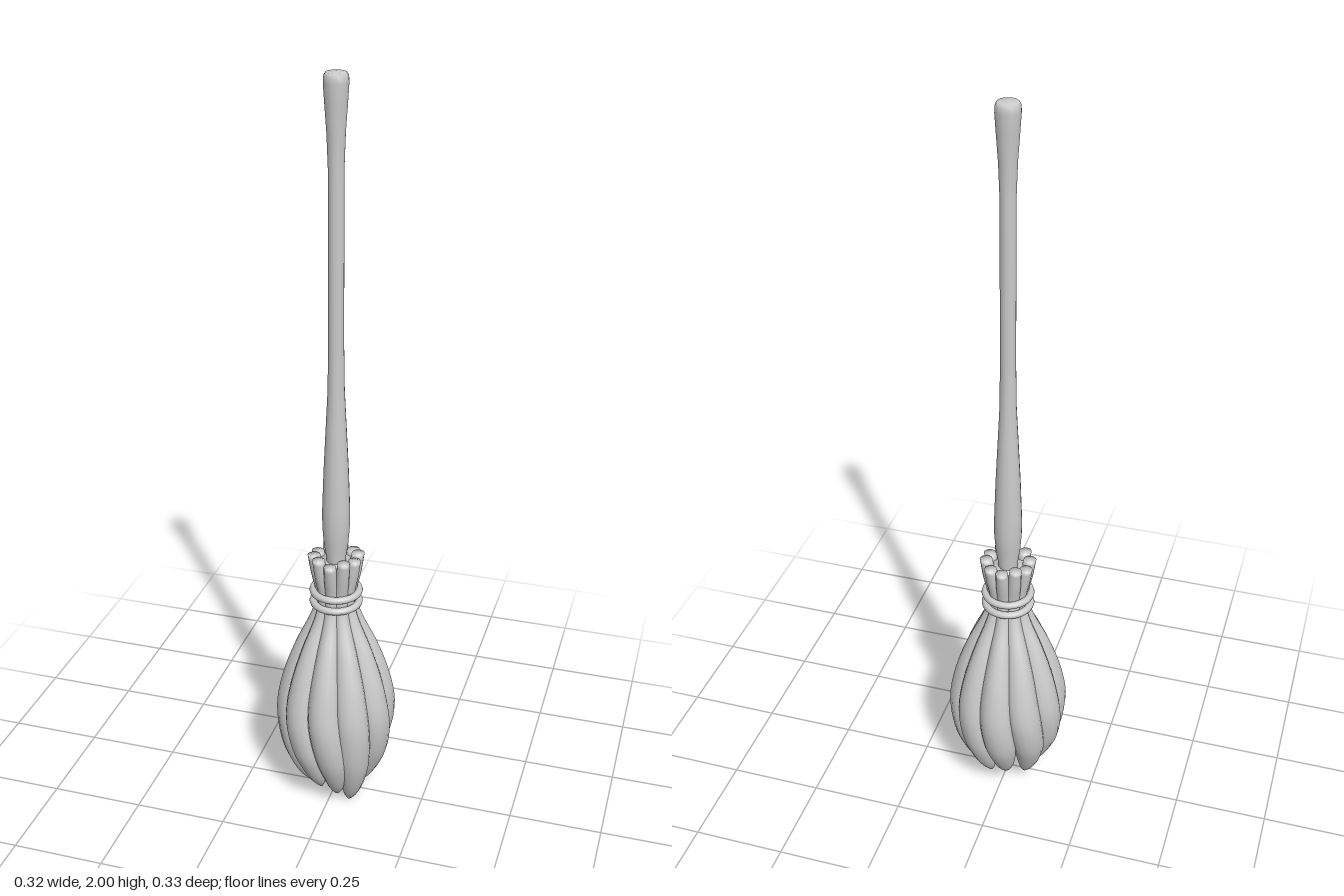
import * as THREE from 'three';

const material = new THREE.MeshStandardMaterial({ color: 0xcccccc });

function add(group, name, geometry) {
  const mesh = new THREE.Mesh(geometry, material);
  mesh.name = name;
  group.add(mesh);
  return mesh;
}

const lathe = (points, sides) =>
  new THREE.LatheGeometry(points.map(([r, y]) => new THREE.Vector2(r, y)), sides);

// One straw clump from collar to tip: [y, centre radius, radial half size, tangential half size]
const CLUMP = [
  [0.75, 0.058, 0.017, 0.016],
  [0.70, 0.049, 0.018, 0.018],
  [0.63, 0.036, 0.018, 0.019],
  [0.57, 0.043, 0.026, 0.022],
  [0.48, 0.075, 0.036, 0.032],
  [0.38, 0.104, 0.042, 0.042],
  [0.28, 0.121, 0.042, 0.047],
  [0.18, 0.114, 0.040, 0.045],
  [0.11, 0.099, 0.032, 0.034],
  [0.06, 0.085, 0.019, 0.021],
  [0.03, 0.075, 0.004, 0.005],
];
const spine = new THREE.CatmullRomCurve3(CLUMP.map(([y, r]) => new THREE.Vector3(r, y, 0)), false, 'catmullrom');
const girth = new THREE.CatmullRomCurve3(CLUMP.map(([, , a, b]) => new THREE.Vector3(a, b, 0)), false, 'catmullrom');

// Stacked elliptical loops that follow the spine and swirl towards the tip
function clumpGeometry(angle, tipY, topY, twist) {
  const rows = 40, sides = 14;
  const positions = [], index = [];
  for (let i = -1; i <= rows + 1; i++) {
    const t = THREE.MathUtils.clamp(i / rows, 0, 1);
    const capScale = i < 0 || i > rows ? 0.001 : 1;
    const c = spine.getPoint(t), g = girth.getPoint(t);
    const low = 1 - THREE.MathUtils.smoothstep(c.y, 0.03, 0.3);
    const high = THREE.MathUtils.smoothstep(c.y, 0.68, 0.75);
    const y = c.y + (tipY - 0.03) * low + (topY - 0.75) * high;
    const turn = angle + twist * (1 - THREE.MathUtils.smoothstep(c.y, 0.0, 0.36));
    const cos = Math.cos(turn), sin = Math.sin(turn);
    for (let j = 0; j < sides; j++) {
      const p = (j / sides) * Math.PI * 2;
      const r = c.x + Math.cos(p) * g.x * capScale;
      const s = Math.sin(p) * g.y * capScale;
      positions.push(r * cos - s * sin, y, r * sin + s * cos);
    }
  }
  for (let i = 0; i < rows + 2; i++) {
    for (let j = 0; j < sides; j++) {
      const k = (j + 1) % sides;
      const a = i * sides + j, b = i * sides + k;
      const c = a + sides, d = b + sides;
      index.push(a, b, c, b, d, c);
    }
  }
  const geometry = new THREE.BufferGeometry();
  geometry.setAttribute('position', new THREE.Float32BufferAttribute(positions, 3));
  geometry.setIndex(index);
  geometry.computeVertexNormals();
  return geometry;
}

export function createModel() {
  const model = new THREE.Group();
  model.name = 'broom';

  // Handle: swollen grip near the straw, slim shaft, rounded knob
  add(model, 'handle', lathe([
    [0, 0.66], [0.024, 0.66], [0.027, 0.75], [0.033, 0.79], [0.037, 0.84], [0.037, 0.89],
    [0.033, 1.0], [0.027, 1.12], [0.022, 1.22], [0.02, 1.35], [0.02, 1.78], [0.023, 1.86],
    [0.028, 1.93], [0.031, 1.975], [0.03, 1.99], [0.025, 1.998], [0, 2.0],
  ], 12));

  // Straw head: a core filling the middle and a ring of clumps
  const straw = new THREE.Group();
  straw.name = 'strawHead';
  model.add(straw);
  add(straw, 'strawCore', lathe([
    [0, 0.14], [0.05, 0.15], [0.085, 0.2], [0.1, 0.28], [0.09, 0.4], [0.065, 0.5],
    [0.044, 0.57], [0.036, 0.63], [0.046, 0.7], [0.05, 0.735], [0, 0.735],
  ], 20));

  const count = 10;
  const tips = [0.04, 0.004, 0.03, 0.045, 0.035, 0.05, 0.04, 0.055, 0.045, 0.05];
  for (let i = 0; i < count; i++) {
    const angle = THREE.MathUtils.degToRad(18 + i * 36);
    const topY = 0.75 + 0.006 * Math.sin(i * 2.3);
    const twist = -0.27 + 0.1 * Math.sin(i * 1.9);
    add(straw, 'strawClump', clumpGeometry(angle, tips[i], topY, twist));
  }

  // Cord wound around the neck
  for (const y of [0.612, 0.645]) {
    const cord = add(model, 'bindingCord', new THREE.TorusGeometry(0.061, 0.01, 10, 32));
    cord.rotation.x = Math.PI / 2;
    cord.position.y = y;
  }
  return model;
}
